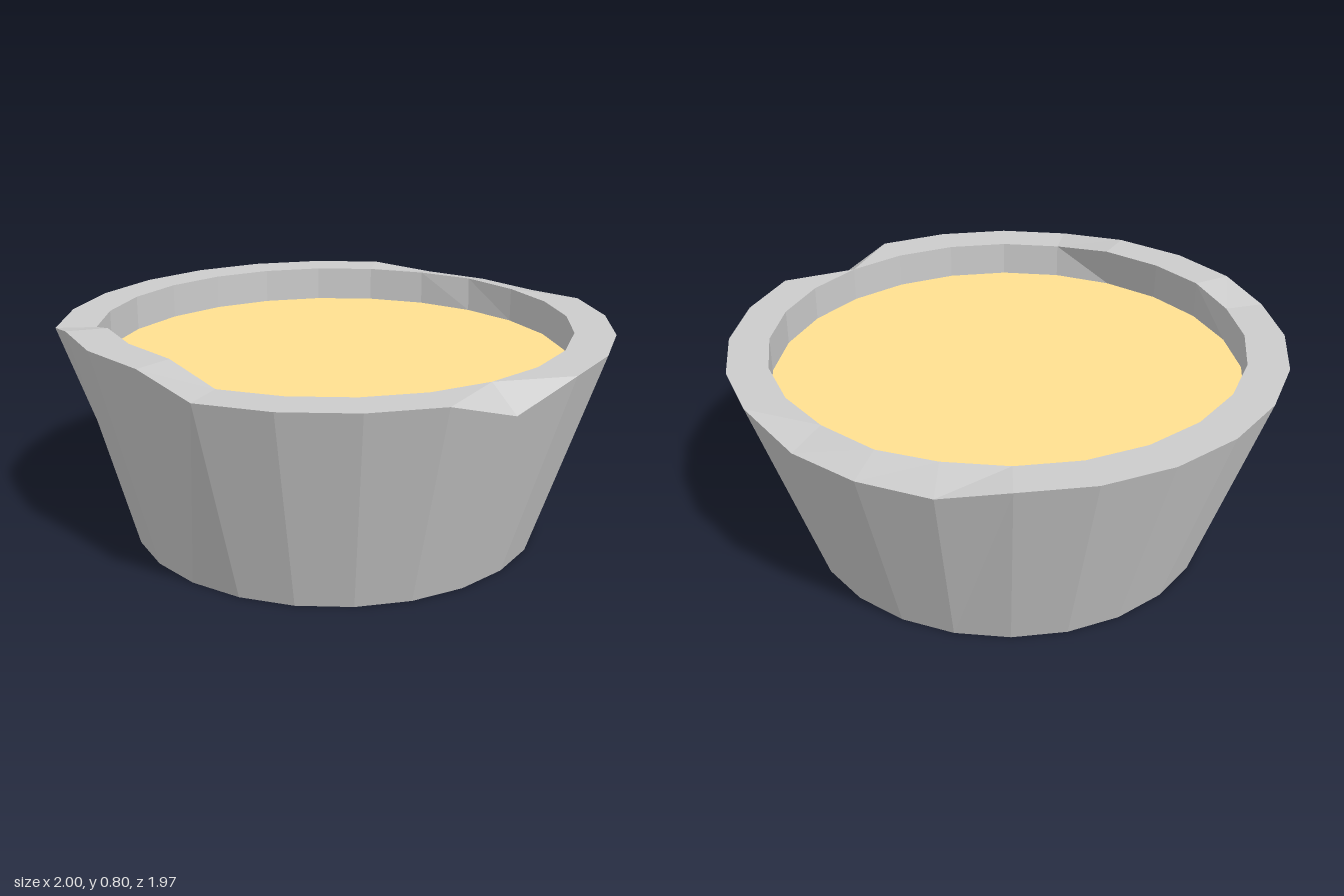
import * as THREE from 'three';

const SIDES = 24;
const CENTER_Z = 0.02;

// One ring of points; `moved` replaces single points that are chipped or pushed
function ring(radius, y, moved = {}) {
  return Array.from({ length: SIDES }, (_, k) => {
    const a = (k / SIDES) * Math.PI * 2;
    const p = moved[k] || [radius * Math.cos(a), y, CENTER_Z - radius * Math.sin(a)];
    return new THREE.Vector3(...p);
  });
}

// Triangles between two rings; flipped(k) picks the other diagonal of a quad
function band(lower, upper, flipped = () => false) {
  const tris = [];
  for (let k = 0; k < SIDES; k++) {
    const n = (k + 1) % SIDES;
    const [a, b, c, d] = [lower[k], lower[n], upper[n], upper[k]];
    if (flipped(k)) tris.push(a, b, d, b, c, d);
    else tris.push(a, b, c, a, c, d);
  }
  return tris;
}

// Fan that closes a ring, facing up or down
function cap(points, y, up) {
  const mid = new THREE.Vector3(0, y, CENTER_Z);
  return points.flatMap((p, k) => {
    const q = points[(k + 1) % SIDES];
    return up ? [mid, p, q] : [mid, q, p];
  });
}

function part(name, tris, color) {
  const geometry = new THREE.BufferGeometry().setFromPoints(tris);
  geometry.computeVertexNormals();
  const mesh = new THREE.Mesh(geometry, new THREE.MeshStandardMaterial({ color, flatShading: true }));
  mesh.name = name;
  return mesh;
}

export function createModel() {
  const group = new THREE.Group();
  group.name = 'bowl';

  const foot = ring(0.75, 0, { 15: [-0.54, 0.04, 0.54] });
  // Outer rim: low at the back, raised at the front, one chip on the side
  const outer = ring(1, 0.76, {
    5: [0.23, 0.73, -0.95],
    6: [-0.03, 0.73, -0.985],
    7: [-0.29, 0.73, -0.95],
    16: [-0.53, 0.8, 0.82],
    17: [-0.29, 0.8, 0.92],
    18: [-0.02, 0.8, 0.95],
    23: [0.94, 0.68, 0.27],
  });
  // Inner rim follows the raised front
  const inner = ring(0.855, 0.76, {
    6: [-0.01, 0.76, -0.845],
    16: [-0.45, 0.8, 0.7],
    17: [-0.25, 0.8, 0.78],
    18: [-0.02, 0.8, 0.81],
  });
  const level = ring(0.855, 0.63);

  group.add(
    part('outerWall', band(foot, outer), 0xcccccc),
    part('rim', band(outer, inner, (k) => k === 15 || k === 23), 0xcccccc),
    part('innerWall', band(inner, level, () => true), 0xcccccc),
    part('base', cap(foot, 0, false), 0xcccccc),
    part('filling', cap(level, 0.63, true), 0xffe090),
  );
  return group;
}
